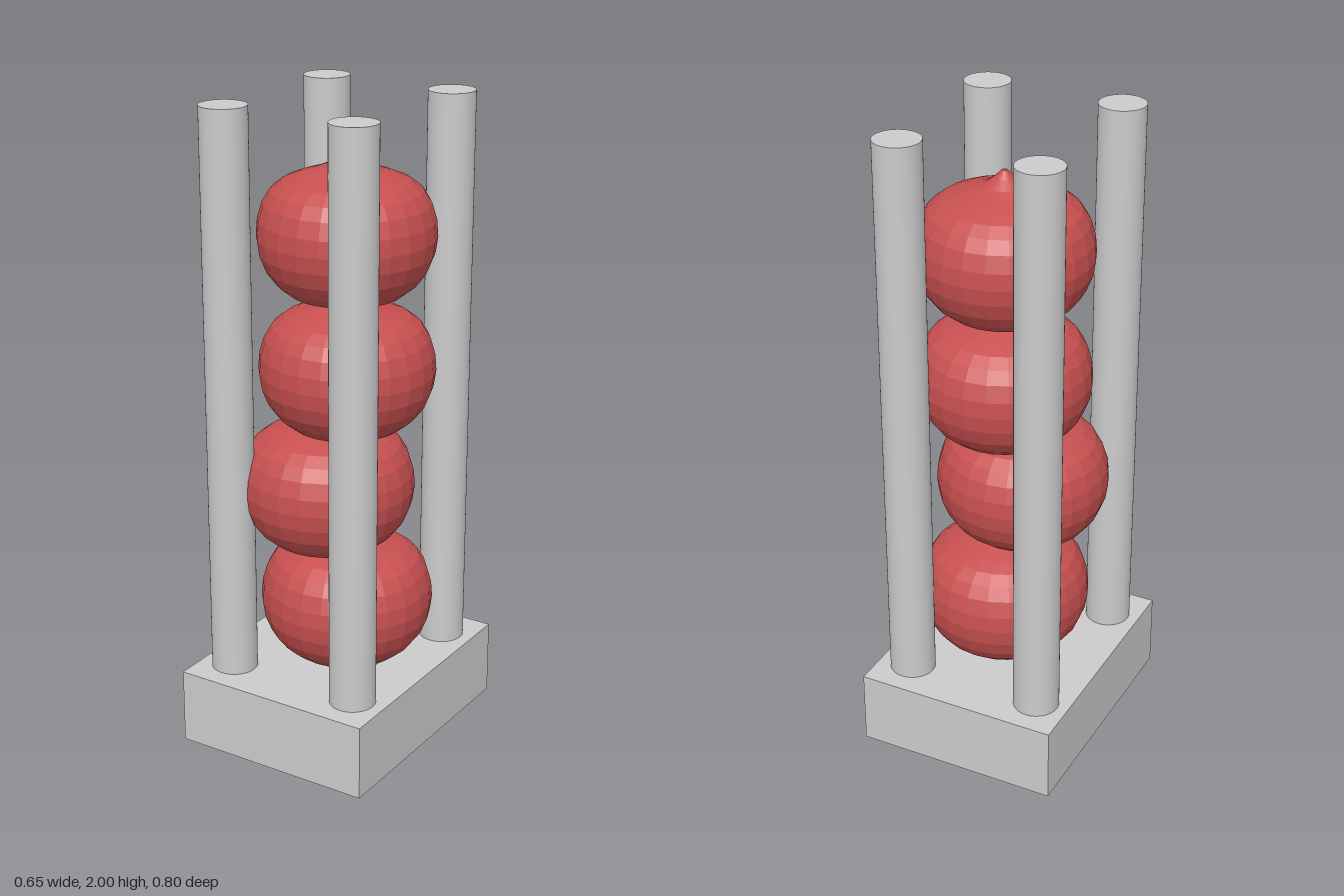
import * as THREE from 'three';

export function createModel() {
  const group = new THREE.Group();
  const grey = new THREE.MeshStandardMaterial({ color: 0xcccccc });
  const red = new THREE.MeshStandardMaterial({ color: 0xc85050, flatShading: true });

  function add(name, geometry, material, x, y, z) {
    const mesh = new THREE.Mesh(geometry, material);
    mesh.name = name;
    mesh.position.set(x, y, z);
    group.add(mesh);
  }

  // Block the columns stand on
  const baseHeight = 0.237;
  add('base', new THREE.BoxGeometry(0.646, baseHeight, 0.796), grey, 0, baseHeight / 2, 0);

  // Four corner columns
  const columnHeight = 2 - baseHeight;
  const column = new THREE.CylinderGeometry(0.071, 0.071, columnHeight, 48);
  for (const x of [-0.218, 0.216]) {
    for (const z of [-0.269, 0.267]) {
      add('column', column, grey, x, baseHeight + columnHeight / 2, z);
    }
  }

  // Flattened bulb with a small pointed tip, turned from radius and height
  const profile = [
    [0, 0], [0.06, 0.002], [0.115, 0.01], [0.17, 0.028], [0.21, 0.06],
    [0.24, 0.1], [0.26, 0.15], [0.267, 0.2], [0.263, 0.25], [0.248, 0.3],
    [0.225, 0.337], [0.19, 0.364], [0.15, 0.38], [0.1, 0.396], [0.06, 0.412],
    [0.03, 0.434], [0.014, 0.45], [0.008, 0.456], [0, 0.456],
  ].map(([r, y]) => new THREE.Vector2(r, y));
  const bulb = new THREE.LatheGeometry(profile, 24);

  // Stack of bulbs, each sunk onto the tip below, the second one pushed aside
  const stack = [
    [0.027, 0.235, 0.001],
    [-0.01, 0.622, 0.055],
    [0.027, 0.985, 0.001],
    [0.022, 1.395, -0.004],
  ];
  for (const [x, y, z] of stack) add('bulb', bulb, red, x, y, z);

  return group;
}
